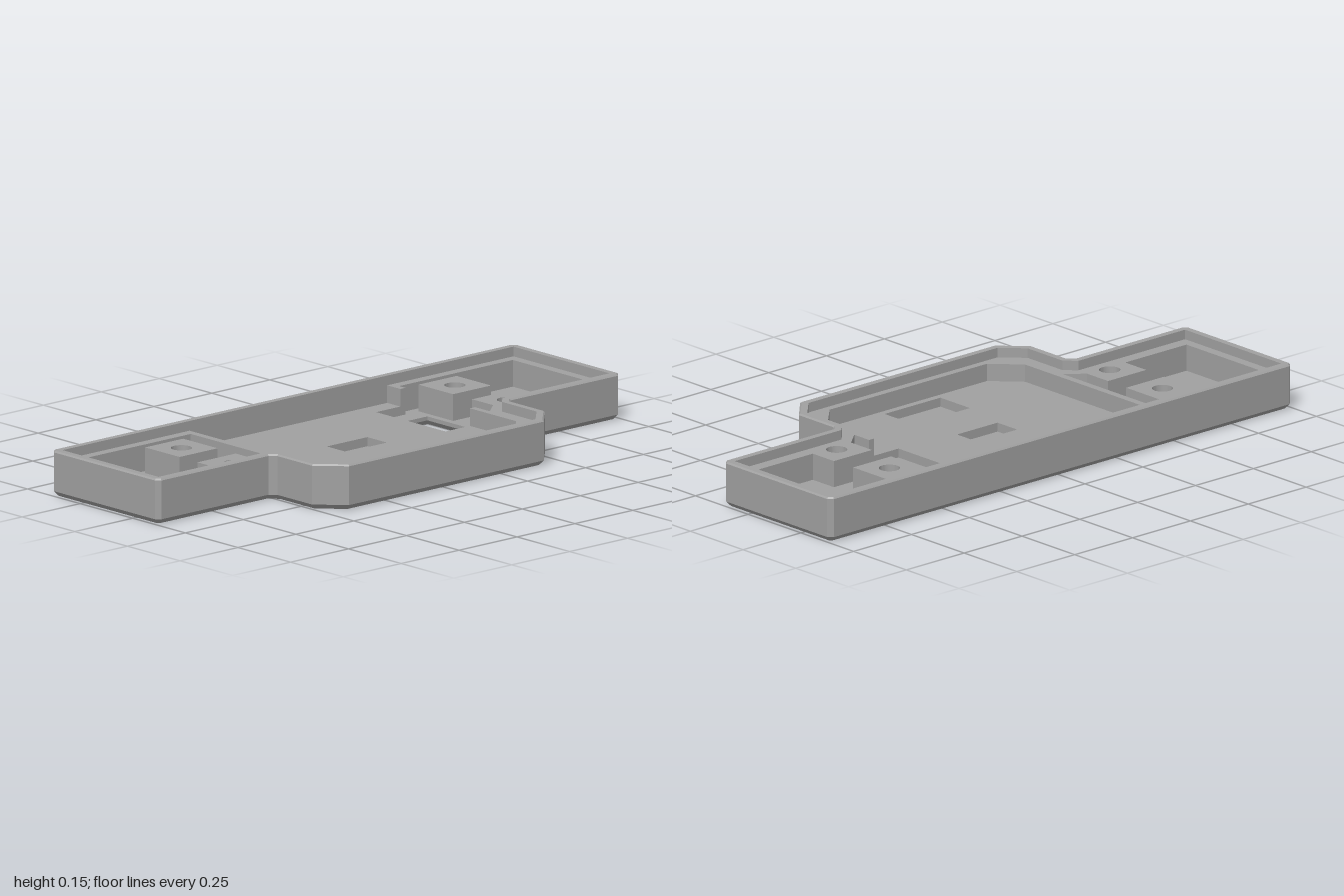
import * as THREE from 'three';
import { toCreasedNormals } from 'three/addons/utils/BufferGeometryUtils.js';

const grey = new THREE.MeshStandardMaterial({ color: 0xa0a0a0 });
grey.name = 'grey';

// Plan-view loops hold (x, z) points
const loop = (...pts) => pts.map(([x, z]) => new THREE.Vector2(x, z));
const rect = (x0, x1, z0, z1) => loop([x0, z0], [x1, z0], [x1, z1], [x0, z1]);
const mirrorZ = (pts) => pts.map((p) => new THREE.Vector2(p.x, -p.y)).reverse();
const circle = (x, z, r, n = 32) => Array.from({ length: n }, (_, i) => {
  const a = (i / n) * Math.PI * 2;
  return new THREE.Vector2(x + r * Math.cos(a), z + r * Math.sin(a));
});

// Mitred inward offset of a counter-clockwise loop
function inset(pts, d) {
  const n = pts.length;
  return pts.map((p, i) => {
    const a = p.clone().sub(pts[(i + n - 1) % n]).normalize();
    const b = pts[(i + 1) % n].clone().sub(p).normalize();
    const na = new THREE.Vector2(-a.y, a.x), nb = new THREE.Vector2(-b.y, b.x);
    const k = d / (1 + na.dot(nb));
    return p.clone().add(na.add(nb).multiplyScalar(k));
  });
}

// Layer between two heights: loops[0] is the outside, the rest are openings.
// A loop may be a [lower, upper] pair for sloping sides.
function layer(name, y0, y1, loops, { top = true, bottom = false } = {}) {
  const pos = [];
  const put = (p, y) => pos.push(p.x, y, p.y);
  const pairs = loops.map((l, i) => {
    const pair = Array.isArray(l[0]) ? l : [l, l];
    const flip = THREE.ShapeUtils.isClockWise(pair[0]) === (i === 0);
    return pair.map((q) => (flip ? [...q].reverse() : [...q]));
  });
  for (const [lo, hi] of pairs) {
    lo.forEach((p, i) => {
      const j = (i + 1) % lo.length;
      put(p, y0); put(hi[i], y1); put(hi[j], y1);
      put(p, y0); put(hi[j], y1); put(lo[j], y0);
    });
  }
  const cap = (k, y, order) => {
    const rings = pairs.map((p) => p[k]);
    const all = rings.flat();
    for (const t of THREE.ShapeUtils.triangulateShape(rings[0], rings.slice(1))) {
      order.forEach((o) => put(all[t[o]], y));
    }
  };
  if (top) cap(1, y1, [0, 2, 1]);
  if (bottom) cap(0, y0, [0, 1, 2]);
  const geo = new THREE.BufferGeometry();
  geo.setAttribute('position', new THREE.Float32BufferAttribute(pos, 3));
  const mesh = new THREE.Mesh(toCreasedNormals(geo, 0.4), grey);
  mesh.name = name;
  return mesh;
}

export function createModel() {
  const model = new THREE.Group();
  model.name = 'enclosureHalf';
  const add = (...args) => model.add(layer(...args));

  // Heights of the main levels
  const BEVEL = 0.017, FLOOR = 0.03, MID = 0.06, LEDGE = 0.118, LIP = 0.145, TOP = 0.15;

  // Outer outline, and a square-cornered one for the rim's inside
  const shoulder = [[0.39, 0.42], [0.305, 0.503], [0.14, 0.503], [0.12, 0.523]];
  const half = loop(...shoulder, [0.12, 0.985], [0.105, 1], [-0.375, 1], [-0.39, 0.985]);
  const outline = [...half, ...mirrorZ(half)];
  const squareHalf = loop(...shoulder, [0.12, 1], [-0.39, 1]);
  const rimInside = inset([...squareHalf, ...mirrorZ(squareHalf)], 0.027);

  // Screw positions
  const zScrew = 0.59;
  const screws = [[-0.22, -zScrew], [0.03, -zScrew], [-0.22, zScrew], [0.03, zScrew]];
  const rightScrews = screws.filter(([x]) => x > 0);
  const leftScrews = screws.filter(([x]) => x < 0);
  const bores = (list, r) => list.map(([x, z]) => circle(x, z, r));
  const WIDE = 0.05, NARROW = 0.034;

  // Base plate with bevelled bottom edge, countersinks and cable window
  const slot = rect(-0.235, -0.04, -0.485, -0.342);
  add('bevelledBase', 0, BEVEL, [
    [inset(outline, 0.016), outline],
    [rect(-0.25, -0.025, -0.5, -0.327), slot],
    ...screws.map(([x, z]) => [circle(x, z, 0.064), circle(x, z, WIDE)]),
  ], { top: false, bottom: true });
  add('floorPlate', BEVEL, FLOOR, [outline, slot, ...bores(screws, WIDE)]);

  // End pockets, notched around the right-hand screw posts
  const endEdge = [[-0.33, -0.94], [0.05, -0.94], [0.05, -0.675], [-0.05, -0.675],
    [-0.05, -0.51], [0.05, -0.51], [0.10, -0.45]];
  const frontPocket = mirrorZ(loop(...endEdge, [-0.33, -0.45]));
  const backPocket = loop(...endEdge, [0.03, -0.45], [0.03, -0.323], [-0.30, -0.323],
    [-0.30, -0.45], [-0.33, -0.45]);
  add('middleFloor', FLOOR, MID, [outline, frontPocket, backPocket,
    rect(-0.085, 0.008, -0.09, 0.085), rect(0.175, 0.315, -0.123, 0.118),
    ...bores(rightScrews, WIDE)]);

  // Walls up to the ledge; the back pocket opens into the middle tray
  const tray = loop(...endEdge, [0.03, -0.45], [0.03, -0.428], [0.25, -0.428], [0.338, -0.34],
    [0.338, 0.34], [0.25, 0.425], [-0.363, 0.425], [-0.363, -0.428], [-0.30, -0.428],
    [-0.30, -0.45], [-0.33, -0.45]);
  add('innerWalls', MID, LEDGE, [outline, frontPocket, tray, ...bores(rightScrews, NARROW)]);

  // Rim with a softened top edge
  add('rimWall', LEDGE, LIP, [outline, rimInside], { top: false });
  add('rimTop', LIP, TOP, [[outline, inset(outline, 0.005)], rimInside]);

  // Free-standing screw posts
  for (const [x, z] of leftScrews) {
    const block = rect(x - 0.082, x + 0.082, z - 0.082, z + 0.082);
    add('screwPostBase', FLOOR, MID, [block, circle(x, z, WIDE)], { top: false });
    add('screwPost', MID, LEDGE, [block, circle(x, z, NARROW)]);
  }

  // Seats for the screw heads, facing down
  for (const [x, z] of screws) {
    const seat = new THREE.Mesh(new THREE.RingGeometry(NARROW, WIDE, 32), grey);
    seat.name = 'screwSeat';
    seat.rotation.x = Math.PI / 2;
    seat.position.set(x, MID, z);
    model.add(seat);
  }
  return model;
}
